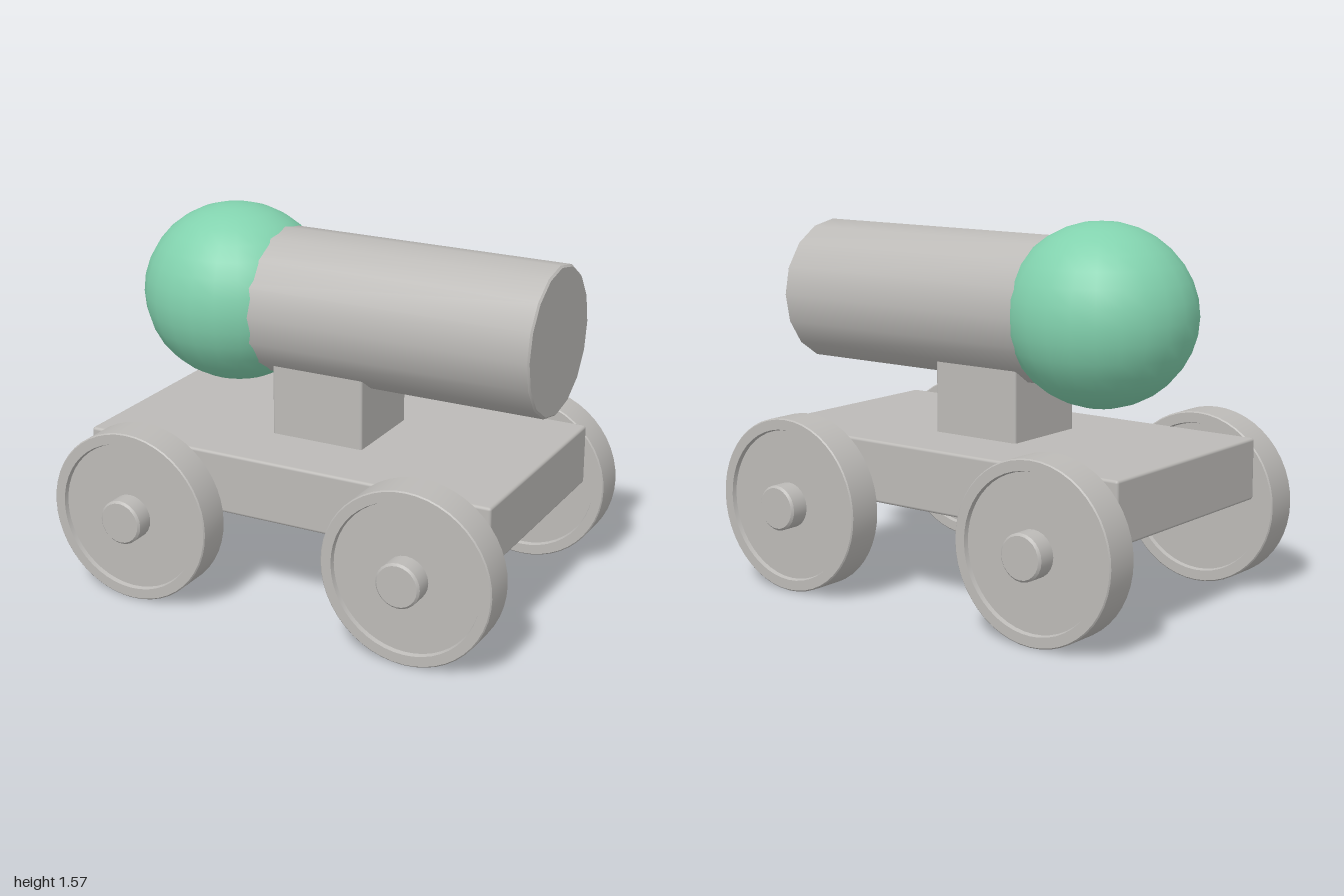
import * as THREE from 'three';
import { toCreasedNormals } from 'three/addons/utils/BufferGeometryUtils.js';
import { RoundedBoxGeometry } from 'three/addons/geometries/RoundedBoxGeometry.js';

// Solid of revolution around y with crisp edges; profile is [radius, height] from bottom to top
function turned(profile, sides) {
  const points = profile.map(([r, h]) => new THREE.Vector2(r, h));
  return toCreasedNormals(new THREE.LatheGeometry(points, sides), 0.5);
}

export function createModel() {
  const model = new THREE.Group();
  model.name = 'wheeledCannon';

  const grey = new THREE.MeshStandardMaterial({ color: 0xbcbab7 });
  grey.name = 'grey';
  const green = new THREE.MeshStandardMaterial({ color: 0x82d2ae });
  green.name = 'green';

  function add(parent, name, geometry, material, x = 0, y = 0, z = 0) {
    const mesh = new THREE.Mesh(geometry, material);
    mesh.name = name;
    mesh.position.set(x, y, z);
    parent.add(mesh);
    return mesh;
  }

  // Carriage bed and the post carrying the barrel
  add(model, 'carriageBed', new RoundedBoxGeometry(1.83, 0.26, 1, 2, 0.012), grey, 0, 0.53, 0);
  add(model, 'post', new RoundedBoxGeometry(0.415, 0.5, 0.4, 2, 0.01), grey, 0, 0.88, 0);

  // Barrel lying along x, with a fine chamfer at the muzzle
  const barrel = turned([[0, -0.5], [0.308, -0.5], [0.308, 0.962], [0.3, 0.97], [0, 0.97]], 16);
  barrel.rotateZ(-Math.PI / 2);
  add(model, 'barrel', barrel, grey, 0, 1.187, 0);

  // Slightly stretched ball at the rear of the barrel
  const ball = add(model, 'breechBall', new THREE.SphereGeometry(0.377, 24, 16), green, -0.488, 1.19, 0);
  ball.scale.x = 1.06;

  // Wheels: a rim with shallow recesses on both faces, and a hub on the outside
  const wheel = turned([
    [0, -0.06], [0.315, -0.06], [0.32, -0.078], [0.362, -0.078], [0.367, -0.073],
    [0.367, 0.073], [0.362, 0.078], [0.32, 0.078], [0.315, 0.06], [0, 0.06],
  ], 48).rotateX(Math.PI / 2);
  const hub = turned([[0, 0], [0.095, 0], [0.095, 0.134], [0.086, 0.143], [0, 0.143]], 24)
    .rotateX(Math.PI / 2);

  for (const x of [-0.633, 0.633]) {
    for (const side of [1, -1]) {
      const group = new THREE.Group();
      group.name = (side > 0 ? 'front' : 'back') + (x > 0 ? 'Left' : 'Right') + 'Wheel';
      add(group, 'rim', wheel, grey);
      add(group, 'hub', hub, grey);
      group.position.set(x, 0.367, side * 0.587);
      if (side < 0) group.rotation.y = Math.PI;
      model.add(group);
    }
  }

  return model;
}
